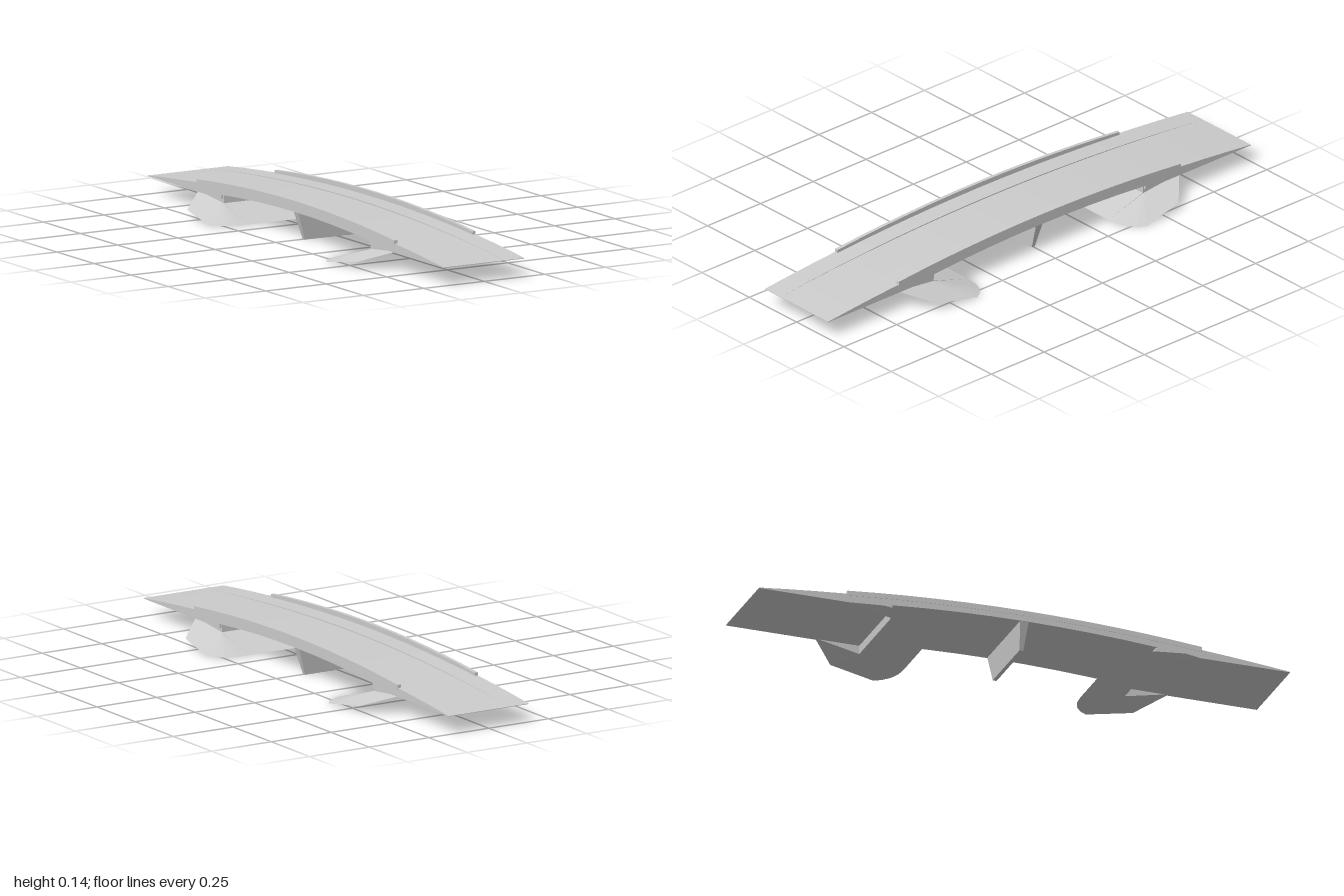
import * as THREE from 'three';

const concrete = new THREE.MeshStandardMaterial({ color: 0xcccccc, flatShading: true, side: THREE.DoubleSide });
concrete.name = 'concrete grey';

// Points [z, y] along a shallow parabola
function arc(z0, z1, crown, drop, steps = 12) {
  return Array.from({ length: steps + 1 }, (_, i) => {
    const z = z0 + (z1 - z0) * i / steps;
    return new THREE.Vector2(z, crown - drop * z * z);
  });
}

// Extrude a lengthwise profile across the bridge
function strip(name, points, x0, x1) {
  const geo = new THREE.ExtrudeGeometry(new THREE.Shape(points), { depth: x1 - x0, bevelEnabled: false });
  geo.rotateY(Math.PI / 2).translate(x0, 0, 0);
  const mesh = new THREE.Mesh(geo, concrete);
  mesh.name = name;
  return mesh;
}

// Arched span with flat-bottomed ramps at both ends
function deckProfile(crown) {
  return [
    ...arc(1, -1, crown, crown - 0.067, 18),
    new THREE.Vector2(-1, 0.065), new THREE.Vector2(-0.5, 0.065),
    ...arc(-0.5, 0.5, 0.1, 0.08, 8),
    new THREE.Vector2(0.5, 0.065), new THREE.Vector2(1, 0.065),
  ];
}

// Triangle fan from an apex to each rim edge
function fan(apex, rim, out) {
  for (let i = 0; i < rim.length - 1; i++) out.push(...apex, ...rim[i], ...rim[i + 1]);
}

function mesh(name, positions) {
  const geo = new THREE.BufferGeometry();
  geo.setAttribute('position', new THREE.Float32BufferAttribute(positions, 3));
  geo.computeVertexNormals();
  const m = new THREE.Mesh(geo, concrete);
  m.name = name;
  return m;
}

// Flared earth-retaining wing beside the abutment, s = side, e = end
function wing(s, e) {
  const rim = [
    [0.16, 0.068, 0.667], [0.265, 0.025, 0.57], [0.285, 0, 0.4], [0.268, 0, 0.373],
    [0.24, 0, 0.35], [0.205, 0, 0.336], [0.16, 0, 0.332],
  ].map(([x, y, z]) => [s * x, y, e * z]);
  const top = [s * 0.16, 0.05, e * 0.5], low = [s * 0.16, 0.033, e * 0.5];
  const upper = [s * 0.16, 0.068, e * 0.5];
  const pos = [];
  const ordered = s * e > 0 ? rim.slice().reverse() : rim;
  // Upper cone, underside cone, then the closed inner face
  fan(top, s * e > 0 ? ordered.slice().reverse() : ordered.slice().reverse(), pos);
  fan(low, ordered, pos);
  fan(upper, [rim[0], low], pos);
  // Orient each face away from the thin body
  for (let i = 0; i < pos.length; i += 9) {
    const [a, b, c] = [0, 3, 6].map(k => new THREE.Vector3().fromArray(pos, i + k));
    const n = b.clone().sub(a).cross(c.clone().sub(a));
    const wantUp = i < (rim.length - 1) * 9;
    const inner = i >= (rim.length - 1) * 18;
    const flip = inner ? n.x * s > 0 : wantUp ? n.y < 0 : n.y > 0;
    if (flip) { b.toArray(pos, i + 6); c.toArray(pos, i + 3); }
  }
  return mesh('abutmentWing', pos);
}

export function createModel() {
  const bridge = new THREE.Group();
  bridge.name = 'archedBridge';

  // Roadway and slightly raised walkways
  bridge.add(strip('roadway', deckProfile(0.118), -0.085, 0.085));
  for (const s of [-1, 1]) {
    const side = (name, pts, a, b) => bridge.add(strip(name, pts, Math.min(s * a, s * b), Math.max(s * a, s * b)));
    side('walkway', deckProfile(0.122), 0.085, 0.167);
    side('parapet', [...arc(0.667, -0.667, 0.14, 0.07), ...arc(-0.667, 0.667, 0.12, 0.067)], 0.155, 0.168);
  }

  // Abutments with sloped toes and wings
  for (const e of [-1, 1]) {
    const pts = [[0.332, 0], [0.5, 0.033], [0.5, 0.08], [0.495, 0.08], [0.495, 0.05]]
      .map(([z, y]) => new THREE.Vector2(-e * z, y));
    bridge.add(strip('abutment', pts, -0.16, 0.16));
    for (const s of [-1, 1]) bridge.add(wing(s, e));
  }

  // Tapered centre pier
  const geo = new THREE.BoxGeometry(0.33, 0.1, 0.032);
  const p = geo.attributes.position;
  for (let i = 0; i < p.count; i++) {
    if (p.getY(i) < 0) p.setXYZ(i, p.getX(i) * 0.81, p.getY(i), p.getZ(i) * 0.45);
  }
  geo.translate(0, 0.05, 0).computeVertexNormals();
  const pier = new THREE.Mesh(geo, concrete);
  pier.name = 'centrePier';
  bridge.add(pier);

  return bridge;
}
